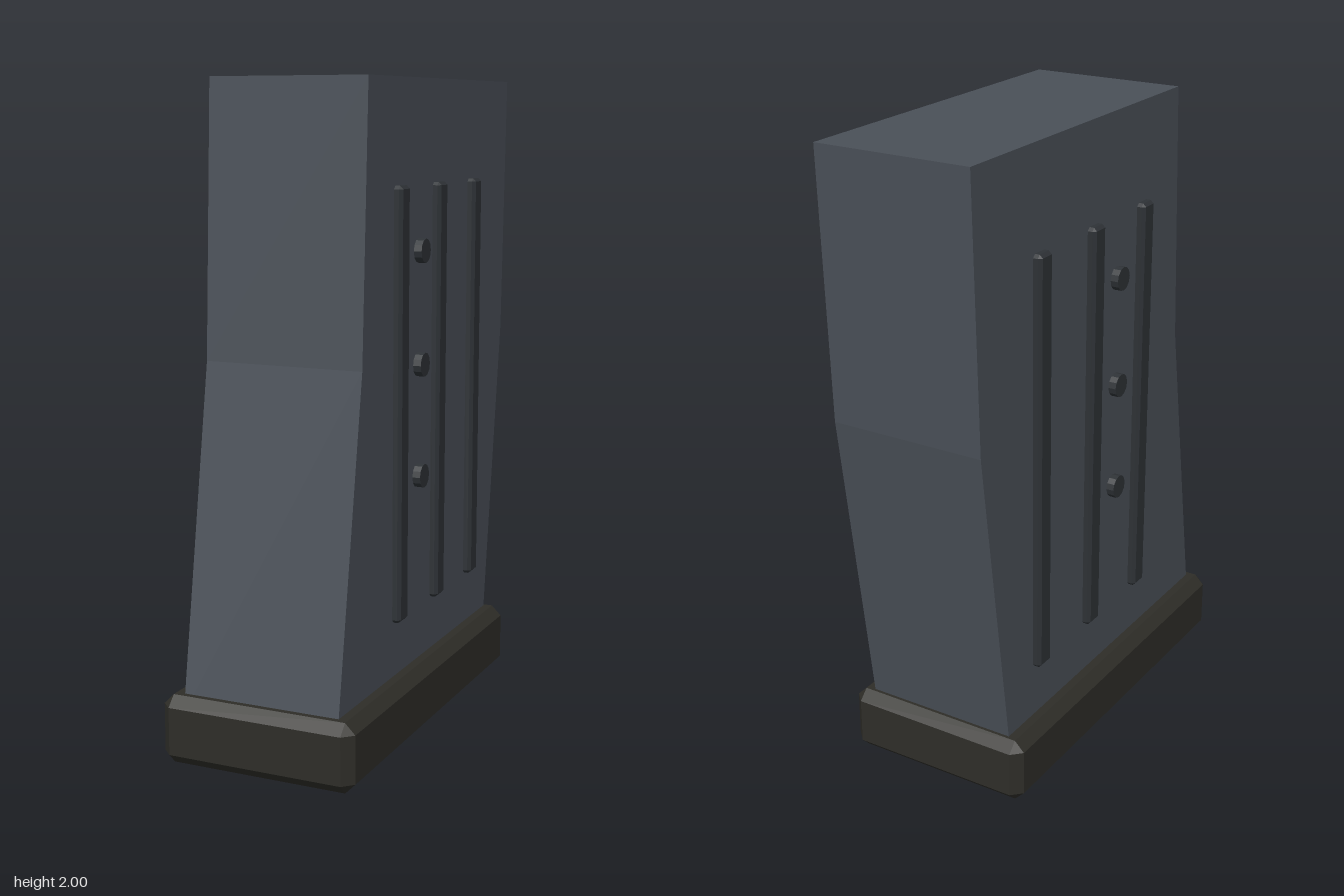
import * as THREE from 'three';
import { ConvexGeometry } from 'three/addons/geometries/ConvexGeometry.js';

const material = (color) => new THREE.MeshStandardMaterial({ color, flatShading: true });

// Box with every edge cut by a single flat chamfer of size c
function chamferedBox(w, h, d, c) {
  const points = [];
  for (const sx of [-1, 1]) for (const sy of [-1, 1]) for (const sz of [-1, 1]) {
    const x = w / 2, y = h / 2, z = d / 2;
    points.push(
      new THREE.Vector3(sx * x, sy * (y - c), sz * (z - c)),
      new THREE.Vector3(sx * (x - c), sy * y, sz * (z - c)),
      new THREE.Vector3(sx * (x - c), sy * (y - c), sz * z)
    );
  }
  return new ConvexGeometry(points);
}

export function createModel() {
  const model = new THREE.Group();
  const bodyMaterial = material(0x4a5058);
  const baseMaterial = material(0x2e2d28);
  const trimMaterial = material(0x2e3236);

  function add(name, geometry, mat, x, y, z) {
    const mesh = new THREE.Mesh(geometry, mat);
    mesh.name = name;
    mesh.position.set(x, y, z);
    model.add(mesh);
    return mesh;
  }

  // Bent body: side outline as (z, y), extruded across the width
  const outline = [[0.66, 0.15], [0.49, 1.18], [0.45, 2], [-0.70, 2], [-0.67, 1.18], [-0.53, 0.15]];
  const shape = new THREE.Shape(outline.map(([z, y]) => new THREE.Vector2(-z, y)));
  const bodyGeometry = new THREE.ExtrudeGeometry(shape, { depth: 0.5, bevelEnabled: false });
  bodyGeometry.translate(0, 0, -0.25).rotateY(Math.PI / 2);
  add('body', bodyGeometry, bodyMaterial, 0, 0, 0);

  // Chamfered base plate
  add('basePlate', chamferedBox(0.62, 0.21, 1.28, 0.032), baseMaterial, 0, 0.105, 0.06);

  // Vertical ribs and round studs on both sides
  const ribGeometry = chamferedBox(0.05, 1.31, 0.068, 0.01);
  const studGeometry = new THREE.CylinderGeometry(0.037, 0.037, 0.04, 12).rotateZ(Math.PI / 2);
  for (const side of [-1, 1]) {
    const label = side > 0 ? 'left' : 'right';
    for (const z of [0.235, -0.065, -0.365]) {
      add(label + 'Rib', ribGeometry, trimMaterial, side * 0.25, 1.035, z);
    }
    for (const y of [0.8, 1.145, 1.49]) {
      add(label + 'Stud', studGeometry, trimMaterial, side * 0.255, y, 0.08);
    }
  }
  return model;
}
